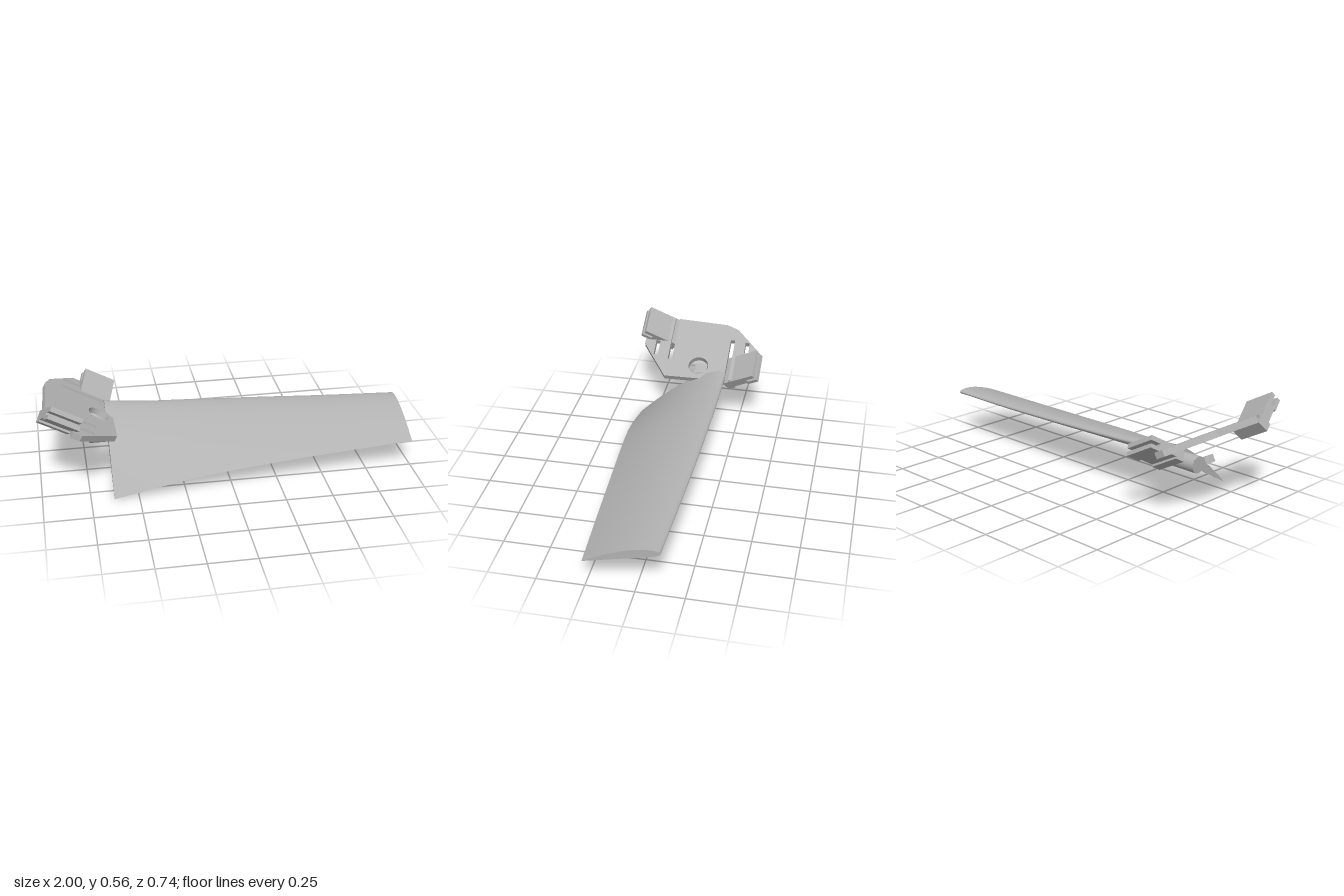
import * as THREE from 'three';

const grey = new THREE.MeshStandardMaterial({ color: 0xb2b2b2 });
grey.name = 'plain grey';

function part(name, geometry) {
  const mesh = new THREE.Mesh(geometry, grey);
  mesh.name = name;
  return mesh;
}

// Blade stations: x, trailing edge z, trailing edge y, leading edge z, pitch in degrees
const stations = [
  [-0.63, 0.34, 0.0, -0.172, 30.5],
  [-0.4, 0.345, 0.05, -0.172, 24],
  [-0.2, 0.337, 0.083, -0.17, 20.5],
  [0.2, 0.31, 0.115, -0.162, 17],
  [0.6, 0.285, 0.135, -0.147, 14.5],
  [1.0, 0.26, 0.15, -0.13, 13],
];

// Flat-bottomed airfoil: chord fraction from the leading edge, height
const airfoil = [
  [1, 0.001], [0.9, 0.028], [0.8, 0.052], [0.7, 0.0735], [0.6, 0.0915], [0.5, 0.105],
  [0.4, 0.114], [0.3, 0.117], [0.2, 0.114], [0.1, 0.096], [0.05, 0.079], [0.025, 0.065],
  [0.008, 0.05], [0, 0.035], [0.008, 0.022], [0.025, 0.0147], [0.05, 0.0093], [0.1, 0.0042],
  [0.2, 0], [0.6, 0], [1, 0],
];

function bladeSection(s) {
  const a = THREE.MathUtils.degToRad(s[4]);
  const cos = Math.cos(a), sin = Math.sin(a);
  const chord = (s[1] - s[3]) / (cos - 0.035 * sin);
  return airfoil.map(([c, t]) => [
    s[0],
    s[2] + chord * ((1 - c) * sin + t * cos),
    s[1] + chord * (-(1 - c) * cos + t * sin),
  ]);
}

function stationAt(t) {
  // smooth blend through the stations, one value at a time
  const n = stations.length - 1;
  const i = Math.min(Math.floor(t * n), n - 1);
  const f = t * n - i;
  const at = (k) => stations[THREE.MathUtils.clamp(k, 0, n)];
  const [p0, p1, p2, p3] = [at(i - 1), at(i), at(i + 1), at(i + 2)];
  return p1.map((v, k) => {
    // tangents scaled for uneven spacing along x
    const h = p2[0] - p1[0];
    const m1 = (p2[k] - p0[k]) / (p2[0] - p0[0]) * h;
    const m2 = (p3[k] - p1[k]) / (p3[0] - p1[0]) * h;
    const f2 = f * f, f3 = f2 * f;
    return (2 * f3 - 3 * f2 + 1) * v + (f3 - 2 * f2 + f) * m1
      + (3 * f2 - 2 * f3) * p2[k] + (f3 - f2) * m2;
  });
}

function bladeGeometry() {
  const steps = 30, n = airfoil.length;
  const position = [], index = [];
  const sections = [];
  for (let i = 0; i <= steps; i++) sections.push(bladeSection(stationAt(i / steps)));
  sections.forEach((s) => s.forEach((p) => position.push(...p)));
  for (let i = 0; i < steps; i++) {
    for (let j = 0; j < n - 1; j++) {
      const a = i * n + j, b = a + n;
      index.push(a, b, a + 1, b, b + 1, a + 1);
    }
  }
  // end caps with their own corners so the rims stay sharp
  [sections[0], sections[steps]].forEach((s, end) => {
    const base = position.length / 3;
    s.forEach((p) => position.push(...p));
    for (let k = 1; k < n - 1; k++) {
      if (end) index.push(base, base + k + 1, base + k);
      else index.push(base, base + k, base + k + 1);
    }
  });
  const g = new THREE.BufferGeometry();
  g.setAttribute('position', new THREE.Float32BufferAttribute(position, 3));
  g.setIndex(index);
  g.computeVertexNormals();
  return g;
}

function rectHole(u0, u1, z0, z1) {
  return new THREE.Path([[u0, z0], [u1, z0], [u1, z1], [u0, z1]].map((p) => new THREE.Vector2(...p)));
}

// Mounting plate, drawn in its own plane with slots open to the edge
function plateGeometry() {
  const outline = [
    [0.09, 0.19], [-0.12, 0.345], [-0.17, 0.345], [-0.17, 0.25], [-0.32, 0.25], [-0.32, 0.19],
    [-0.03, 0.19], [-0.03, 0.165], [-0.318, 0.165], [-0.305, -0.13], [-0.277, -0.2],
    [-0.13, -0.345], [-0.075, -0.345], [-0.075, -0.25], [0.08, -0.25], [0.08, -0.19],
    [-0.2, -0.19], [-0.2, -0.165], [0.085, -0.165],
  ];
  const shape = new THREE.Shape(outline.map((p) => new THREE.Vector2(...p)));
  shape.holes.push(new THREE.Path().absarc(0, 0, 0.058, 0, Math.PI * 2, true));
  shape.holes.push(rectHole(-0.15, -0.05, 0.255, 0.28));
  shape.holes.push(rectHole(-0.19, -0.09, -0.28, -0.255));
  const g = new THREE.ExtrudeGeometry(shape, { depth: 0.034, bevelEnabled: false, curveSegments: 24 });
  return g.rotateX(Math.PI / 2);
}

// Slanted grooved clip: a tilted bar section run along the plate
function clipGeometry() {
  const at = ([a, b]) => new THREE.Vector2(0.371 - 0.83 * a - 0.56 * b, 0.03 - 0.56 * a + 0.83 * b);
  const section = [
    [0, 0], [0, 0.022], [0.06, 0.022], [0.06, 0.04], [0, 0.04], [0, 0.065],
    [0.215, 0.065], [0.215, 0], [0.165, 0], [0.165, 0.012], [0.075, 0.012], [0.075, 0],
  ];
  const g = new THREE.ExtrudeGeometry(new THREE.Shape(section.map(at)), { depth: 0.175, bevelEnabled: false });
  return g.rotateY(Math.PI / 2).translate(-0.09, 0, 0);
}

export function createModel() {
  const model = new THREE.Group();
  model.name = 'bladeWithBracket';
  model.add(part('blade', bladeGeometry()));

  // Round stub under the blade root
  const stub = part('rootStub', new THREE.CylinderGeometry(0.045, 0.045, 0.28, 32));
  stub.rotation.z = Math.PI / 2;
  stub.position.set(-0.59, 0.212, 0);
  model.add(stub);

  // Tilted bracket
  const bracket = new THREE.Group();
  bracket.name = 'bracket';
  bracket.position.set(-0.67, 0.333, 0);
  bracket.rotation.z = THREE.MathUtils.degToRad(-28.5);
  bracket.add(part('plate', plateGeometry()));
  const clip = clipGeometry();
  bracket.add(part('rearClip', clip));
  const frontClip = part('frontClip', clip);
  frontClip.rotation.y = Math.PI;
  frontClip.position.x = -0.243;
  bracket.add(frontClip);

  // Small tongue joining the stub below the plate
  const tongue = part('tongue', new THREE.BoxGeometry(0.11, 0.04, 0.07));
  tongue.position.set(-0.025, -0.125, 0);
  bracket.add(tongue);
  model.add(bracket);
  return model;
}
